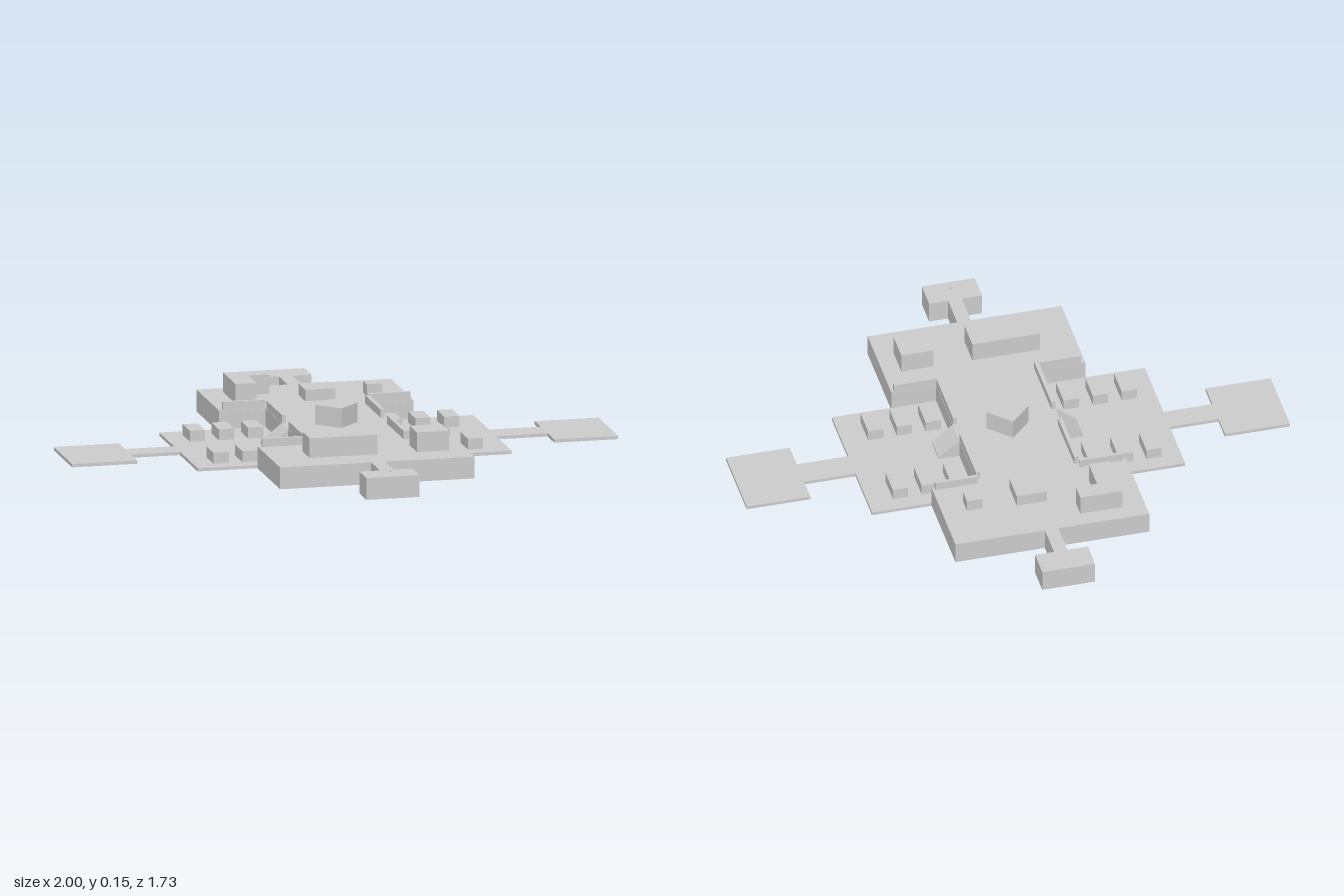
import * as THREE from 'three';

const material = new THREE.MeshStandardMaterial({ color: 0xcccccc, flatShading: true });
const FLOOR = 0.012, DECK = 0.08;

export function createModel() {
  const model = new THREE.Group();

  const add = (name, geometry) => {
    const mesh = new THREE.Mesh(geometry, material);
    mesh.name = name;
    model.add(mesh);
    return mesh;
  };

  // Box given by its limits on each axis
  const block = (name, x0, x1, y0, y1, z0, z1) => {
    const mesh = add(name, new THREE.BoxGeometry(x1 - x0, y1 - y0, z1 - z0));
    mesh.position.set((x0 + x1) / 2, (y0 + y1) / 2, (z0 + z1) / 2);
    return mesh;
  };

  // Slab from a plan outline of [x, z] corners
  const slab = (name, outline, y0, y1) => {
    const shape = new THREE.Shape(outline.map(([x, z]) => new THREE.Vector2(x, -z)));
    const geometry = new THREE.ExtrudeGeometry(shape, { depth: y1 - y0, bevelEnabled: false });
    geometry.rotateX(-Math.PI / 2);
    add(name, geometry).position.y = y0;
  };

  // Raised deck with side notches and an end platform at front and back
  slab('raisedDeck', [
    [-0.36, 0.625], [-0.025, 0.625], [-0.025, 0.755], [-0.1, 0.755], [-0.1, 0.86],
    [0.095, 0.86], [0.095, 0.755], [0.025, 0.755], [0.025, 0.625], [0.355, 0.625],
    [0.355, 0.285], [0.19, 0.285], [0.19, -0.29], [0.355, -0.29],
    [0.355, -0.63], [0.025, -0.63], [0.025, -0.76], [0.095, -0.76], [0.095, -0.865],
    [-0.1, -0.865], [-0.1, -0.76], [-0.025, -0.76], [-0.025, -0.63], [-0.36, -0.63],
    [-0.36, -0.29], [-0.19, -0.29], [-0.19, 0.285], [-0.36, 0.285],
  ], 0, DECK);

  // Low yards, each with a path to an outer pad
  slab('rightYard', [
    [-0.19, 0.285], [-0.58, 0.285], [-0.58, 0.02], [-0.76, 0.02], [-0.76, 0.115], [-1, 0.115],
    [-1, -0.16], [-0.76, -0.16], [-0.76, -0.07], [-0.58, -0.07], [-0.58, -0.29], [-0.19, -0.29],
  ], 0, FLOOR);
  slab('leftYard', [
    [0.19, 0.285], [0.575, 0.285], [0.575, 0.05], [0.765, 0.05], [0.765, 0.15], [1, 0.15],
    [1, -0.145], [0.765, -0.145], [0.765, -0.055], [0.575, -0.055], [0.575, -0.29], [0.19, -0.29],
  ], 0, FLOOR);

  for (const side of [-1, 1]) {
    const label = side < 0 ? 'right' : 'left';
    const span = (a, b) => (side < 0 ? [-b, -a] : [a, b]);

    // Parapets around the notch, open at the ramp
    block(label + 'ParapetFront', ...span(0.174, 0.189), DECK, 0.11, 0.05, 0.3);
    block(label + 'ParapetBack', ...span(0.174, 0.189), DECK, 0.11, -0.28, -0.045);
    block(label + 'FrontEndParapet', ...span(0.189, 0.345), DECK, 0.11, 0.286, 0.3);
    block(label + 'BackEndParapet', ...span(0.189, 0.345), DECK, 0.11, -0.305, -0.292);

    // Ramp from the deck down to the yard
    const wedge = new THREE.Shape([[0.19, FLOOR], [0.267, FLOOR], [0.267, 0.018], [0.19, DECK]]
      .map(([x, y]) => new THREE.Vector2(x * side, y)));
    add(label + 'Ramp', new THREE.ExtrudeGeometry(wedge, { depth: 0.097, bevelEnabled: false }))
      .position.z = -0.047;

    // Two rows of yard crates
    const columns = side < 0 ? [-0.48, -0.374, -0.266] : [0.243, 0.349, 0.455];
    for (const x of columns) {
      for (const z of [-0.178, 0.176]) {
        block(label + 'YardCrate', x - 0.028, x + 0.028, FLOOR, 0.052, z - 0.054, z + 0.054);
      }
    }
  }

  // Blocks standing on the deck
  block('longFrontBlock', -0.222, 0.028, DECK, 0.152, 0.397, 0.507);
  block('smallFrontBlock', 0.172, 0.29, DECK, 0.152, 0.397, 0.507);
  block('lowBackBlock', -0.026, 0.086, DECK, 0.122, -0.465, -0.36);
  block('smallBackBlock', 0.208, 0.266, DECK, 0.122, -0.45, -0.392);
  slab('cornerBackBlock', [
    [-0.277, -0.385], [-0.2, -0.385], [-0.2, -0.503], [-0.122, -0.503],
    [-0.122, -0.567], [-0.277, -0.567],
  ], DECK, 0.152);

  // Turned block in the centre
  block('centreBlock', -0.055, 0.055, DECK, 0.152, -0.055, 0.055).rotation.y = Math.PI / 4;

  // Tiny marker above the front platform
  block('marker', -0.003, 0.003, 0.088, 0.094, 0.809, 0.815);

  return model;
}
